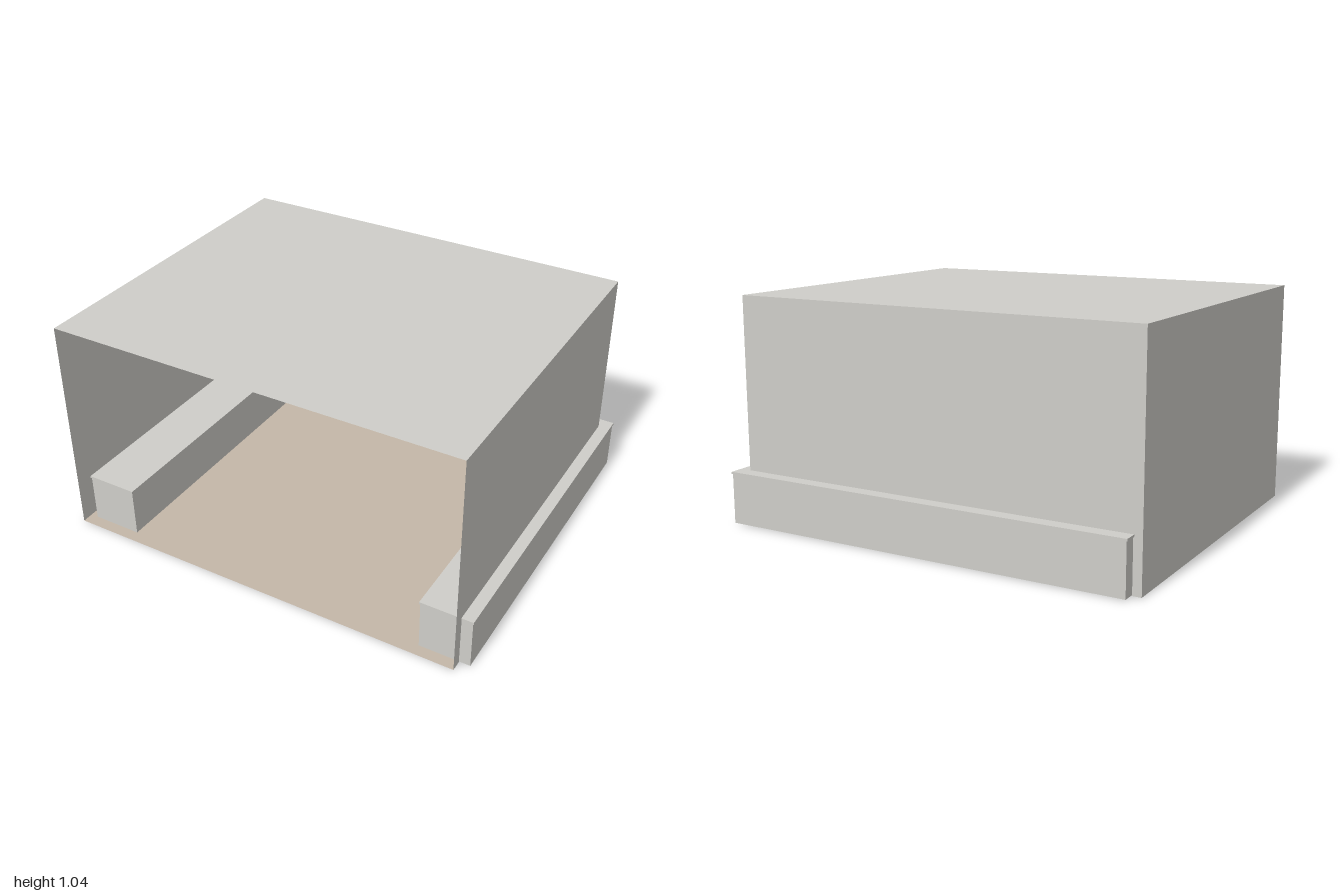
import * as THREE from 'three';

export function createModel() {
  const grey = new THREE.MeshStandardMaterial({ color: 0xcfcec9, side: THREE.DoubleSide });
  grey.name = 'pale grey';
  const beige = new THREE.MeshStandardMaterial({ color: 0xc4b7a8, side: THREE.DoubleSide });
  beige.name = 'floor beige';

  const model = new THREE.Group();
  model.name = 'room';

  // Room extents
  const x0 = -1, x1 = 0.945, z0 = -0.78, z1 = 0.843, h = 1.045;
  const w = x1 - x0, d = z1 - z0, cx = (x0 + x1) / 2, cz = (z0 + z1) / 2;

  // Thin sheet facing outwards, placed by its centre
  function sheet(name, width, height, pos, rot, material) {
    const mesh = new THREE.Mesh(new THREE.PlaneGeometry(width, height), material);
    mesh.name = name;
    mesh.position.set(...pos);
    mesh.rotation.set(...rot);
    model.add(mesh);
  }
  const q = Math.PI / 2;
  sheet('floor', w, d, [cx, 0, cz], [-q, 0, 0], beige);
  sheet('roof', w, d, [cx, h, cz], [-q, 0, 0], grey);
  sheet('backWall', w, h, [cx, h / 2, z0], [0, Math.PI, 0], grey);
  sheet('rightWall', d, h, [x0, h / 2, cz], [0, -q, 0], grey);
  sheet('leftWall', d, h, [x1, h / 2, cz], [0, q, 0], grey);

  // U-shaped bench around three sides, pushed slightly through the walls
  function benchLayer(name, y, height, grow) {
    const a = -0.96 - grow, b = -0.722 + grow, c = 0.76 - grow, e = 0.996 + grow;
    const back = 0.839 + grow, inner = 0.62 - grow, front = -0.792 - grow;
    const outline = [[a, front], [b, front], [b, inner], [c, inner],
      [c, front], [e, front], [e, back], [a, back]];
    const shape = new THREE.Shape(outline.map(([x, v]) => new THREE.Vector2(x, v)));
    const geometry = new THREE.ExtrudeGeometry(shape, { depth: height, bevelEnabled: false });
    geometry.rotateX(-q);
    const mesh = new THREE.Mesh(geometry, grey);
    mesh.name = name;
    mesh.position.y = y;
    model.add(mesh);
  }
  benchLayer('benchBase', 0.004, 0.231, 0);
  benchLayer('benchTop', 0.235, 0.01, 0.004);

  return model;
}
